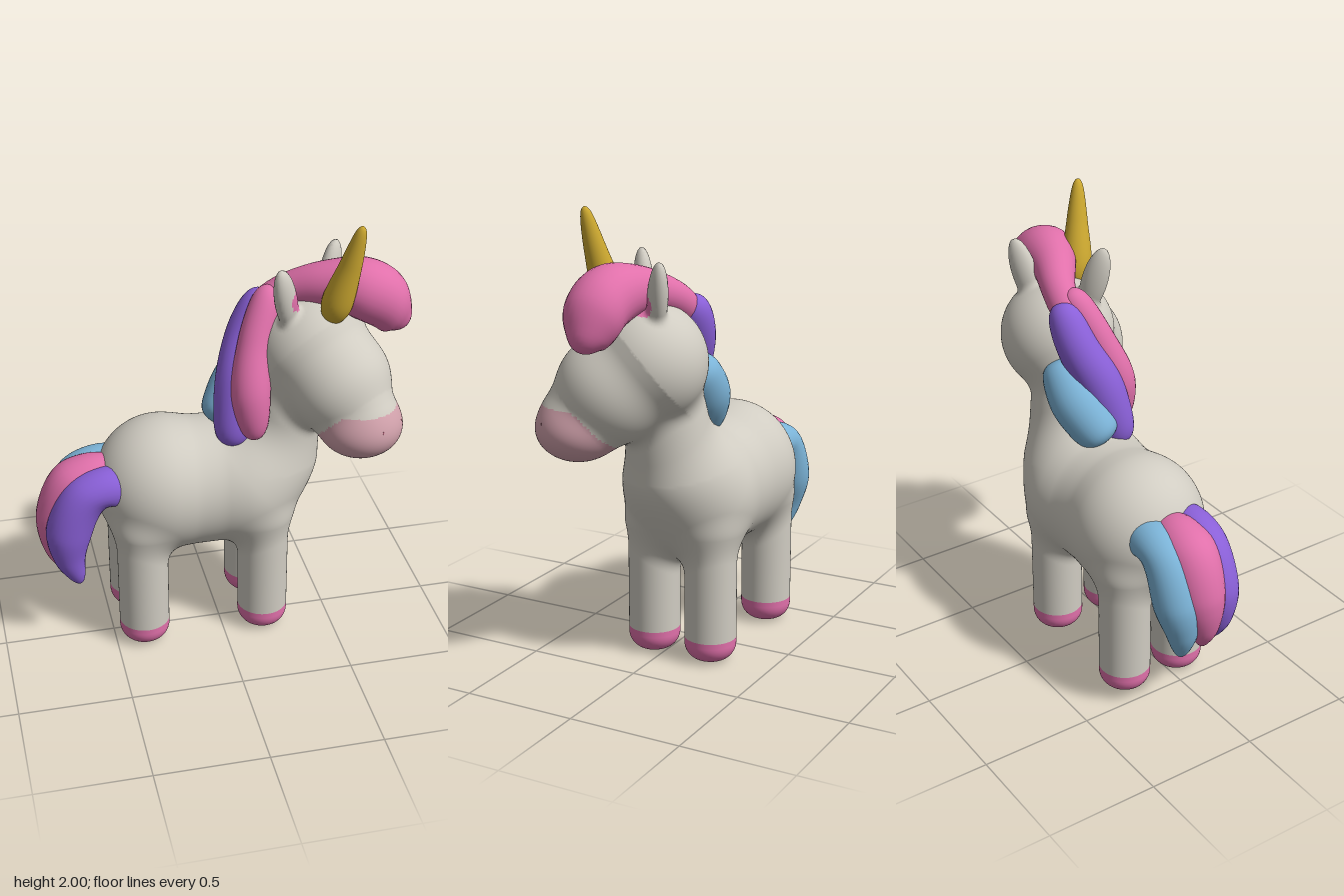
import * as THREE from 'three';
import { mergeVertices } from 'three/addons/utils/BufferGeometryUtils.js';

const paint = (name, color) => {
  const m = new THREE.MeshStandardMaterial({ color });
  m.name = name;
  return m;
};
const V = (x, y, z) => new THREE.Vector3(x, y, z);

// ---- Blended-shape helpers: each returns a signed distance function of (x, y, z)
const blend = (a, b, k) => {
  const h = Math.max(k - Math.abs(a - b), 0) / k;
  return Math.min(a, b) - h * h * k / 4;
};
const ellipsoid = (cx, cy, cz, rx, ry, rz) => (x, y, z) => {
  const X = (x - cx) / rx, Y = (y - cy) / ry, Z = (z - cz) / rz;
  const k0 = Math.hypot(X, Y, Z), k1 = Math.hypot(X / rx, Y / ry, Z / rz);
  return k1 < 1e-6 ? -Math.min(rx, ry, rz) : k0 * (k0 - 1) / k1;
};
// Rounded limb tapering from radius ra at a to rb at b
const limb = (a, ra, b, rb) => {
  const [dx, dy, dz] = [b[0] - a[0], b[1] - a[1], b[2] - a[2]];
  const len2 = dx * dx + dy * dy + dz * dz;
  return (x, y, z) => {
    const X = x - a[0], Y = y - a[1], Z = z - a[2];
    const t = Math.min(1, Math.max(0, (X * dx + Y * dy + Z * dz) / len2));
    return Math.hypot(X - dx * t, Y - dy * t, Z - dz * t) - ra - (rb - ra) * t;
  };
};
// Upright leg with a rounded foot standing on y = 0
const leg = (cx, cz, r = 0.114, top = 0.66, round = 0.078) => (x, y, z) => {
  const a = Math.hypot(x - cx, z - cz) - r + round;
  const b = Math.abs(y - top / 2) - top / 2 + round;
  return Math.min(Math.max(a, b), 0) + Math.hypot(Math.max(a, 0), Math.max(b, 0)) - round;
};
// Flattened ear turned with the head and leaning outwards
const earShape = ellipsoid(0, 0, 0, 0.06, 0.155, 0.042);
const ear = (cx, cy, cz, lean) => (x, y, z) => {
  const X = x - cx, Y = y - cy, Z = z - cz;
  return earShape(0.76 * X - 0.65 * Z - lean * Y, Y, 0.65 * X + 0.76 * Z);
};

// ---- The animal's skin
const rump = ellipsoid(-0.25, 0.74, -0.075, 0.30, 0.31, 0.30);
const belly = ellipsoid(-0.07, 0.725, -0.075, 0.36, 0.29, 0.275);
const chest = ellipsoid(0.11, 0.73, -0.075, 0.285, 0.30, 0.30);
const neck = limb([0.265, 0.86, -0.07], 0.2, [0.32, 1.25, -0.04], 0.165);
const cranium = limb([0.425, 1.36, -0.03], 0.258, [0.58, 1.14, 0.195], 0.16);
const cheeks = ellipsoid(0.505, 1.25, 0.085, 0.235, 0.235, 0.235);
const snout = ellipsoid(0.582, 1.09, 0.2, 0.185, 0.14, 0.18);
const ears = [ear(0.275, 1.645, 0.065, -0.25), ear(0.52, 1.645, -0.14, 0.25)];
const legs = [-0.365, 0.19].flatMap(x => [0.07, -0.21].map(z => leg(x, z)));

function skin(x, y, z) {
  let d = blend(rump(x, y, z), chest(x, y, z), 0.08);
  d = blend(d, belly(x, y, z), 0.05);
  d = blend(d, neck(x, y, z), 0.12);
  d = blend(d, Math.min(...legs.map(f => f(x, y, z))), 0.08);
  const head = blend(blend(cranium(x, y, z), cheeks(x, y, z), 0.04), snout(x, y, z), 0.04);
  d = blend(d, head, 0.06);
  return blend(d, Math.min(...ears.map(f => f(x, y, z))), 0.03);
}
function skinGradient(p) {
  const e = 0.002;
  return V(
    skin(p.x + e, p.y, p.z) - skin(p.x - e, p.y, p.z),
    skin(p.x, p.y + e, p.z) - skin(p.x, p.y - e, p.z),
    skin(p.x, p.y, p.z + e) - skin(p.x, p.y, p.z - e)).divideScalar(2 * e);
}

// Which painted region a skin point belongs to
const muzzleCentre = V(0.605, 1.055, 0.235);
const earHollows = [V(0.33, 1.645, 0.075), V(0.55, 1.62, -0.09)];
function regionAt(p) {
  if (p.y < 0.1) return p.y > 0.004 ? 'hooves' : 'coat';
  if (p.y < 1.195 && p.distanceTo(muzzleCentre) < 0.213) return 'muzzle';
  return earHollows.some(c => p.distanceTo(c) < 0.048) ? 'innerEars' : 'coat';
}

// Wraps a quad mesh around the skin, one geometry for each painted region
function skinGeometries() {
  const h = 0.0125, lo = [-0.62, -0.0505, -0.42], n = [116, 152, 68];
  const stride = [1, n[0], n[0] * n[1]];
  const inside = new Uint8Array(n[0] * n[1] * n[2]);
  const at = (i, j, k) => i + j * stride[1] + k * stride[2];
  for (let k = 0; k < n[2]; k++) for (let j = 0; j < n[1]; j++) for (let i = 0; i < n[0]; i++)
    inside[at(i, j, k)] = skin(lo[0] + i * h, lo[1] + j * h, lo[2] + k * h) < 0 ? 1 : 0;

  // One vertex per cell, slid from the cell's middle onto the surface
  const points = [], normals = [], lookup = new Map();
  const vertex = c => {
    if (!lookup.has(c)) {
      const i = c % n[0], j = Math.floor(c / stride[1]) % n[1], k = Math.floor(c / stride[2]);
      const p = V(lo[0] + (i + 0.5) * h, lo[1] + (j + 0.5) * h, lo[2] + (k + 0.5) * h);
      for (let s = 0; s < 4; s++) {
        const g = skinGradient(p);
        p.addScaledVector(g, -skin(p.x, p.y, p.z) / Math.max(g.lengthSq(), 0.2));
      }
      lookup.set(c, points.length);
      points.push(p);
      normals.push(skinGradient(p).normalize());
    }
    return lookup.get(c);
  };

  const faces = { coat: [], hooves: [], muzzle: [], innerEars: [] };
  for (let k = 1; k < n[2] - 1; k++) for (let j = 1; j < n[1] - 1; j++) for (let i = 1; i < n[0] - 1; i++) {
    const c = at(i, j, k);
    for (let a = 0; a < 3; a++) {
      if (inside[c] === inside[c + stride[a]]) continue;
      const b = stride[(a + 1) % 3], d = stride[(a + 2) % 3];
      const q = [c, c - b, c - b - d, c - d].map(vertex);
      if (!inside[c]) q.reverse();
      const mid = V(0, 0, 0);
      q.forEach(v => mid.addScaledVector(points[v], 0.25));
      faces[regionAt(mid)].push(q[0], q[1], q[2], q[0], q[2], q[3]);
    }
  }
  const shared = new THREE.BufferGeometry().setFromPoints(points);
  shared.setAttribute('normal', new THREE.Float32BufferAttribute(normals.flatMap(v => v.toArray()), 3));
  return Object.entries(faces).map(([name, index]) => {
    shared.setIndex(index);
    return [name, shared.toNonIndexed()];
  });
}

// ---- Plump strand through [x, y, z, radius] points, rounded at both ends
function strand(points, sides = 28, steps = 56) {
  const path = new THREE.CatmullRomCurve3(points.map(p => V(p[0], p[1], p[2])));
  const radii = new THREE.SplineCurve(points.map((p, i) => new THREE.Vector2(i, p[3])));
  const geo = new THREE.TubeGeometry(path, steps, 1, sides);
  const pos = geo.attributes.position, v = V(0, 0, 0);
  for (let i = 0; i <= steps; i++) {
    // rings crowd towards the ends so the caps stay round
    const u = 0.5 - 0.5 * Math.cos(Math.PI * i / steps);
    const r = radii.getPoint(path.getUtoTmapping(u)).y * Math.sqrt(Math.max(0, 1 - Math.abs(2 * u - 1) ** 8));
    const from = path.getPointAt(i / steps), to = path.getPointAt(u);
    for (let j = 0; j <= sides; j++) {
      const id = i * (sides + 1) + j;
      v.fromBufferAttribute(pos, id).sub(from).multiplyScalar(r).add(to);
      pos.setXYZ(id, v.x, v.y, v.z);
    }
  }
  geo.deleteAttribute('uv');
  geo.deleteAttribute('normal');
  const welded = mergeVertices(geo, 1e-5);
  welded.computeVertexNormals();
  return welded;
}

export function createModel() {
  const coat = paint('warm grey coat', 0xd0ccc2), pink = paint('pink', 0xe070aa);
  const purple = paint('purple', 0x8a60d8), blue = paint('sky blue', 0x7cb4d8);
  const gold = paint('gold', 0xcca830), blush = paint('blush', 0xd2a2ac);
  const rose = paint('rose', 0xcc6e88);
  const model = new THREE.Group();
  const add = (name, geo, mat) => {
    const mesh = new THREE.Mesh(geo, mat);
    mesh.name = name;
    model.add(mesh);
    return mesh;
  };

  // Body, legs, head and ears in one smooth skin
  const skinPaint = { coat, hooves: pink, muzzle: blush, innerEars: pink };
  for (const [name, geo] of skinGeometries()) add(name, geo, skinPaint[name]);

  // Nostrils set on the muzzle along the way the head looks
  const facing = V(0.65, 0, 0.76);
  for (const side of [-1, 1]) {
    const p = V(0.582 + side * 0.053, 1.13, 0.2 - side * 0.046).addScaledVector(facing, 0.5);
    for (let i = 0; i < 30; i++) p.addScaledVector(facing, -skin(p.x, p.y, p.z));
    const nostril = add('nostril', new THREE.SphereGeometry(0.006, 12, 8).scale(1, 1, 0.3), rose);
    nostril.position.copy(p);
    nostril.lookAt(p.clone().add(facing));
  }

  add('horn', strand([[0.468, 1.54, 0.085, 0.057], [0.488, 1.65, 0.11, 0.067],
    [0.53, 1.83, 0.142, 0.046], [0.563, 2.0, 0.17, 0.026]]), gold);

  // Mane
  add('forelock', strand([[0.17, 1.52, -0.11, 0.08], [0.32, 1.62, -0.09, 0.075], [0.46, 1.665, -0.025, 0.098],
    [0.62, 1.652, 0.03, 0.133], [0.735, 1.58, 0.04, 0.125], [0.79, 1.455, 0.045, 0.085]]), pink);
  add('sideMane', strand([[0.25, 1.65, -0.09, 0.07], [0.16, 1.43, 0, 0.075],
    [0.125, 1.22, 0.075, 0.086], [0.14, 1.01, 0.1, 0.065]]), pink);
  add('middleMane', strand([[0.235, 1.61, -0.14, 0.08], [0.15, 1.43, -0.11, 0.09],
    [0.095, 1.24, -0.03, 0.102], [0.045, 0.955, 0.05, 0.085]]), purple);
  add('lowerMane', strand([[0.24, 1.34, -0.155, 0.09], [0.12, 1.18, -0.135, 0.115], [0.005, 1.01, -0.06, 0.1]]), blue);

  // Tail
  add('middleTail', strand([[-0.4, 0.79, -0.07, 0.1], [-0.61, 0.8, -0.07, 0.118], [-0.712, 0.61, -0.07, 0.11],
    [-0.725, 0.45, -0.055, 0.068], [-0.69, 0.335, -0.035, 0.035]]), pink);
  for (const [name, z, tipZ, drop, mat] of [['leftTail', 0.03, 0.05, 0, purple], ['rightTail', -0.165, -0.135, 0.015, blue]])
    add(name, strand([[-0.36, 0.8, z, 0.1], [-0.585, 0.785, z, 0.1], [-0.688, 0.59, z, 0.102],
      [-0.69 - drop, 0.45, (z + tipZ) / 2, 0.07], [-0.645 - 2 * drop, 0.325 - drop, tipZ, 0.04]]), mat);

  return model;
}
